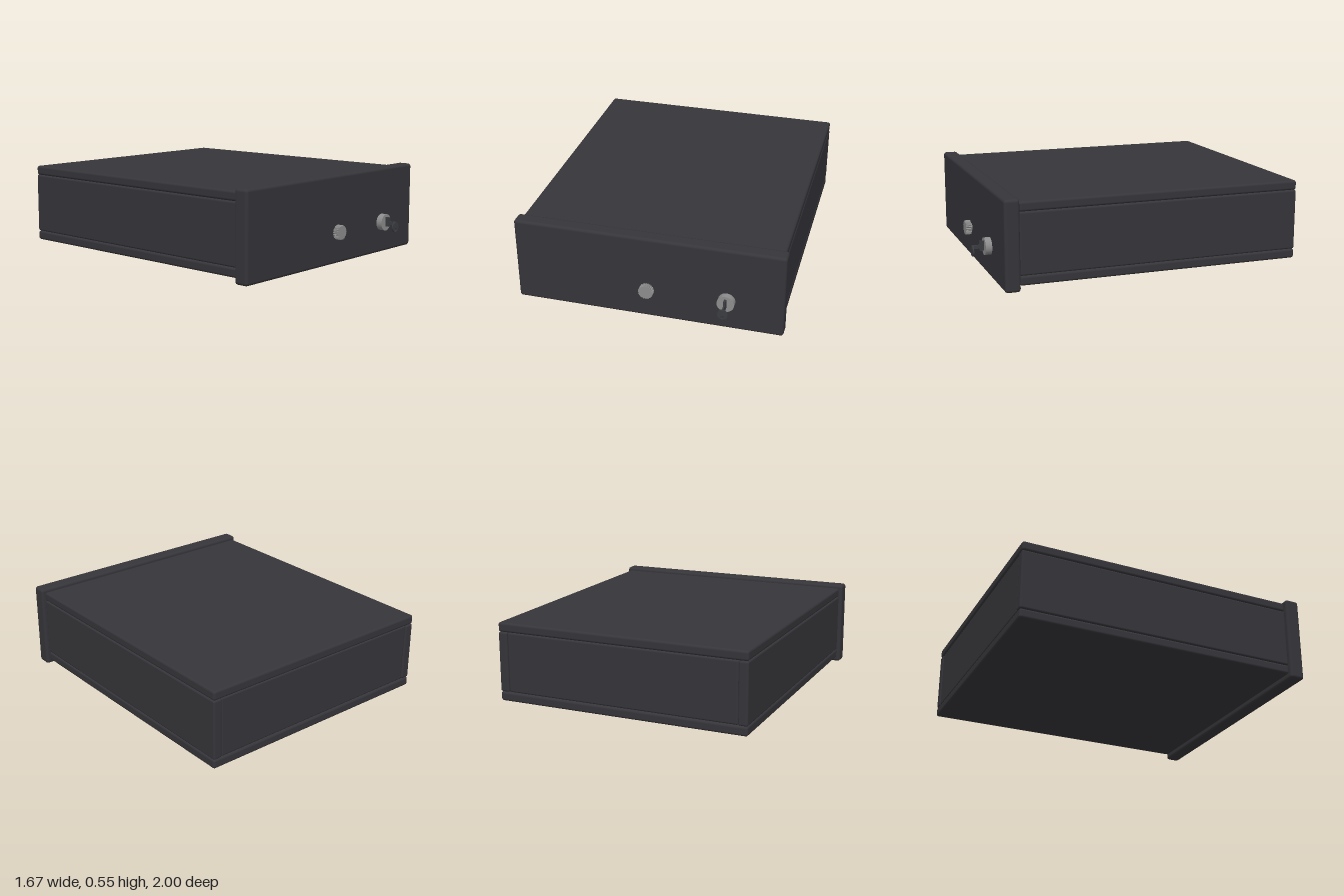
import * as THREE from 'three';
import { RoundedBoxGeometry } from 'three/addons/geometries/RoundedBoxGeometry.js';

const material = (name, color) => {
  const m = new THREE.MeshStandardMaterial({ color });
  m.name = name;
  return m;
};

export function createModel() {
  const group = new THREE.Group();
  const body = material('charcoal', 0x35353a);
  const metal = material('metal grey', 0x8c8c8c);
  const keyMetal = material('dark key metal', 0x3a3c40);

  const add = (name, geometry, mat, x, y, z, parent = group) => {
    const mesh = new THREE.Mesh(geometry, mat);
    mesh.name = name;
    mesh.position.set(x, y, z);
    parent.add(mesh);
    return mesh;
  };
  // Rounded board given by its min and max corners
  const board = (name, a, b, r) => add(name,
    new RoundedBoxGeometry(b[0] - a[0], b[1] - a[1], b[2] - a[2], 3, r), body,
    (a[0] + b[0]) / 2, (a[1] + b[1]) / 2, (a[2] + b[2]) / 2);
  // Cylinder along z from z0 to z1
  const disc = (name, r, z0, z1, mat, x, y, parent) => add(name,
    new THREE.CylinderGeometry(r, r, z1 - z0, 32).rotateX(Math.PI / 2), mat, x, y, (z0 + z1) / 2, parent);

  // Cabinet boards
  board('frontPanel', [-0.837, 0, 0.793], [0.837, 0.55, 0.887], 0.018);
  board('topPanel', [-0.815, 0.47, -1], [0.815, 0.53, 0.793], 0.015);
  board('bottomPanel', [-0.815, 0.03, -1], [0.815, 0.09, 0.793], 0.015);
  for (const [name, s] of [['leftSide', 1], ['rightSide', -1]]) {
    const xs = [s * 0.815, s * 0.755].sort((p, q) => p - q);
    board(name, [xs[0], 0.09, -1], [xs[1], 0.47, 0.793], 0.012);
  }
  board('backPanel', [-0.755, 0.09, -0.995], [0.755, 0.47, -0.935], 0.012);

  // Knurled knob on a short neck
  const knob = new THREE.Group();
  knob.name = 'knob';
  group.add(knob);
  disc('knobNeck', 0.025, 0.88, 0.9, metal, 0, 0.2, knob);
  const teeth = 24;
  const outline = [];
  for (let i = 0; i < teeth * 2; i++) {
    const a = (i / (teeth * 2)) * Math.PI * 2;
    const r = i % 2 ? 0.041 : 0.046;
    outline.push(new THREE.Vector2(r * Math.cos(a), r * Math.sin(a)));
  }
  add('knobHead', new THREE.ExtrudeGeometry(new THREE.Shape(outline),
    { depth: 0.036, bevelEnabled: false }), metal, 0, 0.2, 0.896, knob);

  // Lock cylinder
  disc('lockCylinder', 0.053, 0.88, 0.926, metal, 0.49, 0.2);

  // Key: flat blade, thin stem and pierced bow
  const key = new THREE.Group();
  key.name = 'key';
  group.add(key);
  add('keyBlade', new THREE.BoxGeometry(0.014, 0.06, 0.03), keyMetal, 0.49, 0.205, 0.938, key);
  add('keyStem', new THREE.BoxGeometry(0.01, 0.022, 0.05), keyMetal, 0.49, 0.2, 0.97, key);
  const bow = new THREE.Shape().absarc(0, 0, 0.033, 0, Math.PI * 2, false);
  bow.holes.push(new THREE.Path().absarc(0, -0.017, 0.01, 0, Math.PI * 2, true));
  add('keyBow', new THREE.ExtrudeGeometry(bow,
    { depth: 0.008, bevelEnabled: false, curveSegments: 24 }), keyMetal, 0.49, 0.177, 0.992, key);

  return group;
}
